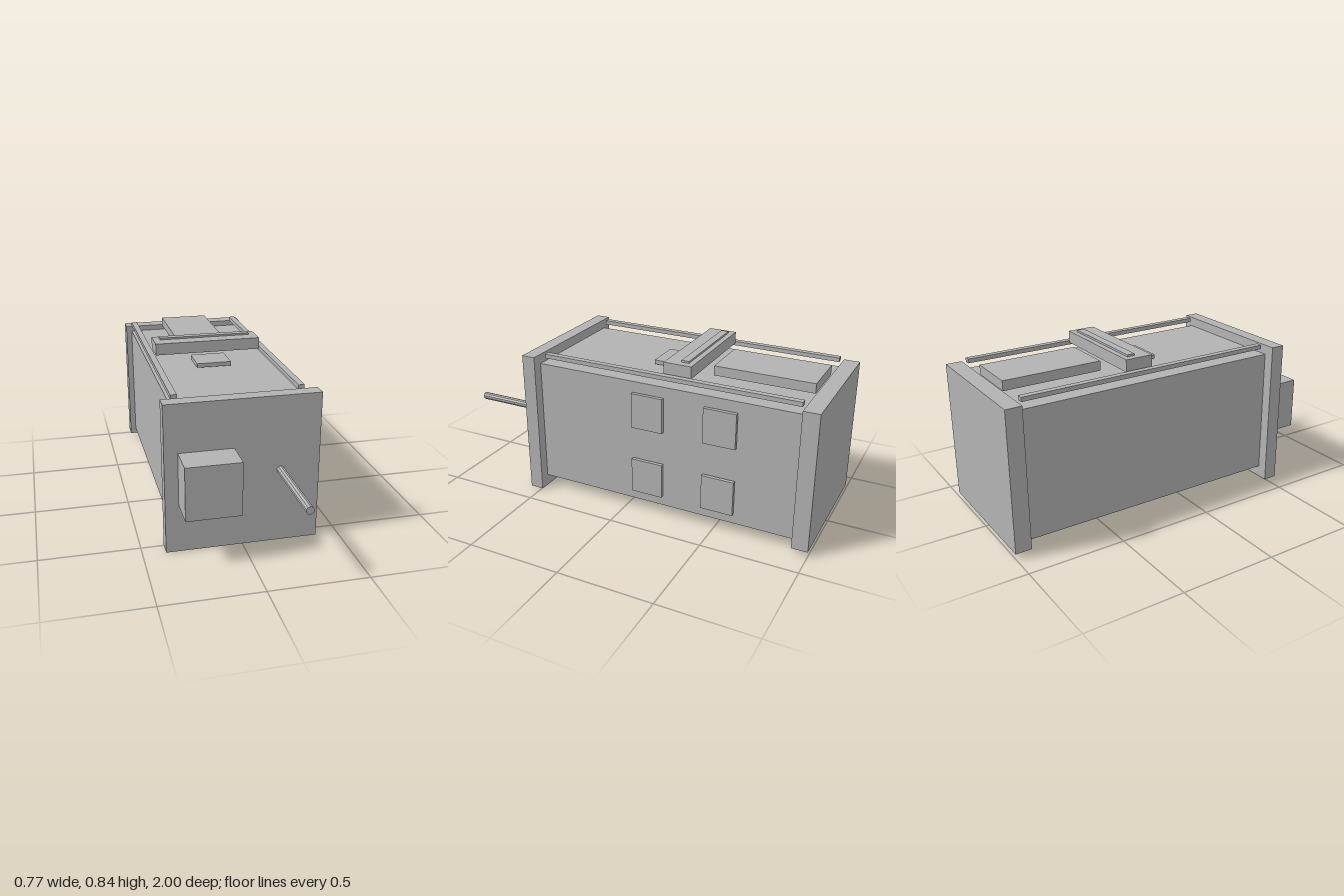
import * as THREE from 'three';

export function createModel() {
  const model = new THREE.Group();
  const grey = new THREE.MeshStandardMaterial({ color: 0xb3b3b3 });
  grey.name = 'plain grey';

  // Box given by its extents along x, y and z
  function box(name, [x0, x1], [y0, y1], [z0, z1]) {
    const mesh = new THREE.Mesh(new THREE.BoxGeometry(x1 - x0, y1 - y0, z1 - z0), grey);
    mesh.position.set((x0 + x1) / 2, (y0 + y1) / 2, (z0 + z1) / 2);
    mesh.name = name;
    model.add(mesh);
  }

  // Housing with its larger end plates
  box('body', [-0.33, 0.33], [0.06, 0.72], [-0.917, 0.497]);
  box('frontPlate', [-0.385, 0.385], [0, 0.77], [0.497, 0.57]);
  box('backPlate', [-0.362, 0.362], [0.028, 0.75], [-1, -0.917]);

  // Rails floating just above the top edges
  box('leftRail', [0.298, 0.33], [0.755, 0.777], [-0.907, 0.465]);
  box('rightRail', [-0.33, -0.298], [0.755, 0.777], [-0.907, 0.465]);

  // Cross bar and its raised strip
  box('crossBar', [-0.29, 0.29], [0.77, 0.833], [-0.343, -0.196]);
  box('crossBarStrip', [-0.254, 0.252], [0.833, 0.843], [-0.314, -0.274]);

  // Cover over the rear half of the top
  box('rearCover', [-0.136, 0.134], [0.745, 0.795], [-0.91, -0.397]);

  // Rows of thin pads on the top and on the left side
  for (const z of [[-0.22, -0.05], [-0.607, -0.437]]) {
    box('topPad', [-0.093, 0.093], [0.731, 0.753], z);
    for (const y of [[0.117, 0.302], [0.48, 0.665]]) box('sidePad', [0.337, 0.356], y, z);
  }

  // Block and shaft on the front plate
  box('frontBlock', [-0.318, -0.045], [0.25, 0.523], [0.57, 0.735]);
  const shaftGeometry = new THREE.CylinderGeometry(0.02, 0.02, 0.43, 10).toNonIndexed();
  shaftGeometry.computeVertexNormals();
  const shaft = new THREE.Mesh(shaftGeometry, grey);
  shaft.rotation.x = Math.PI / 2;
  shaft.position.set(0.187, 0.387, 0.785);
  shaft.name = 'shaft';
  model.add(shaft);

  return model;
}
